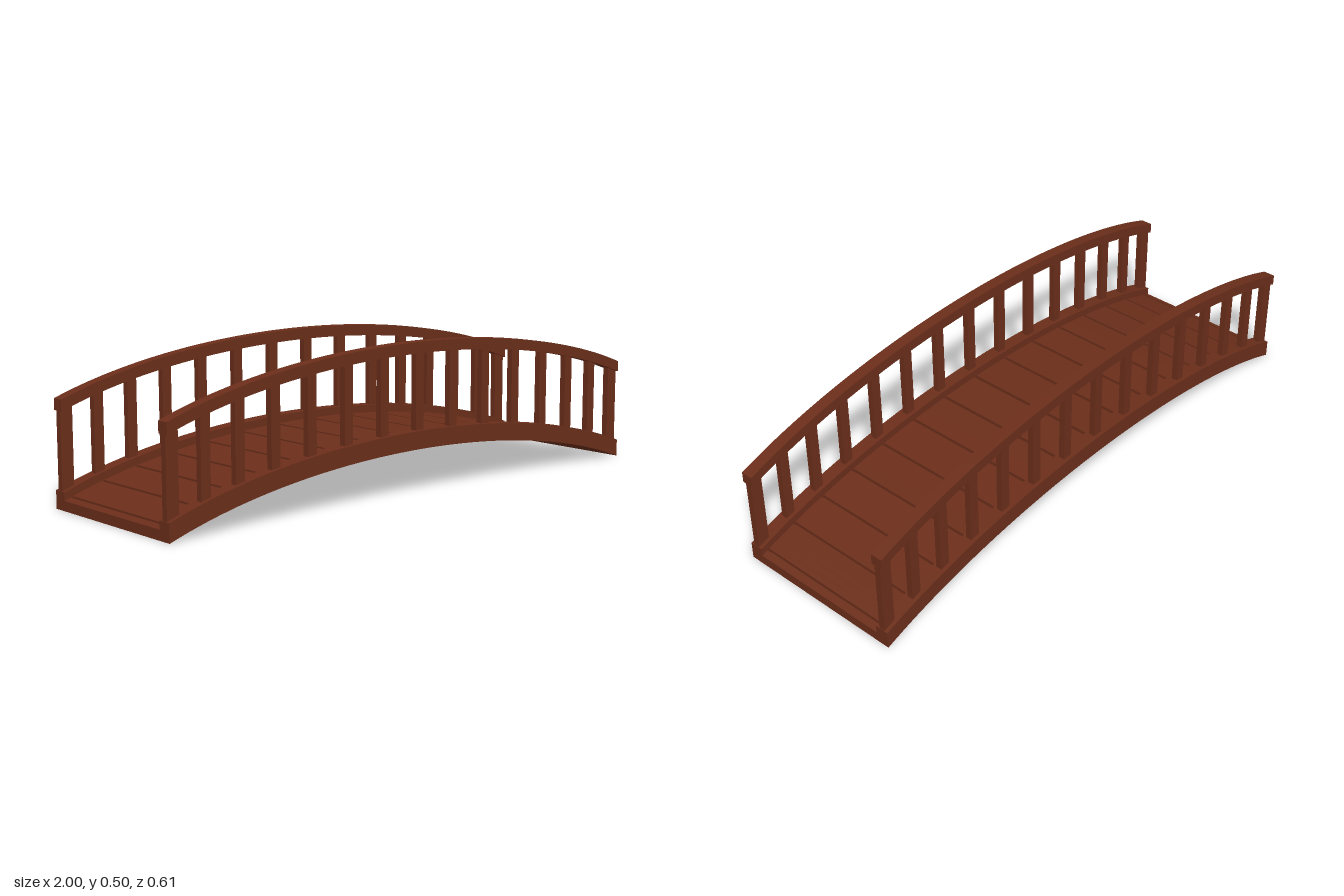
import * as THREE from 'three';
import { toCreasedNormals } from 'three/addons/utils/BufferGeometryUtils.js';

const RX = 1.37, RY = 0.474;          // radii of the elliptical arch
const END = Math.asin(1 / RX);        // arch angle at x = 1
const STEP = 0.113;                   // angle between balusters and plank joints
const wood = new THREE.MeshStandardMaterial({ color: 0x6b2e1a });

const archX = (a) => RX * Math.sin(a);
const archDrop = (a) => RY * (1 - Math.cos(a));

// Curved beam: a vertical-ended strip of the arch between two angles, extruded along z
function archBeam(name, a0, a1, bottom, top, z0, z1, segments) {
  const lower = [], upper = [];
  for (let i = 0; i <= segments; i++) {
    const a = a0 + (a1 - a0) * i / segments;
    lower.push(new THREE.Vector2(archX(a), bottom - archDrop(a)));
    upper.unshift(new THREE.Vector2(archX(a), top - archDrop(a)));
  }
  const shape = new THREE.Shape([...lower, ...upper]);
  const geometry = new THREE.ExtrudeGeometry(shape, { depth: z1 - z0, bevelEnabled: false });
  geometry.translate(0, 0, z0);
  const mesh = new THREE.Mesh(toCreasedNormals(geometry, 0.4), wood);
  mesh.name = name;
  return mesh;
}

// One side: stringer, handrail and balusters, centred on its own z
function createRailing(name) {
  const side = new THREE.Group();
  side.name = name;
  side.add(archBeam('stringer', -END, END, 0.15, 0.21, -0.024, 0.024, 48));
  side.add(archBeam('handrail', -END, END, 0.463, 0.5, -0.021, 0.021, 48));
  for (let i = -7; i <= 7; i++) {
    const isEnd = Math.abs(i) === 7;
    const a = i * STEP;
    const width = isEnd ? 0.043 : 0.034;
    const x = isEnd ? Math.sign(i) * 0.977 : archX(a);
    const post = new THREE.Mesh(new THREE.BoxGeometry(width, 0.28, 0.022), wood);
    post.name = isEnd ? 'endPost' : 'baluster';
    post.position.set(x, 0.337 - archDrop(a), 0);
    side.add(post);
  }
  return side;
}

export function createModel() {
  const bridge = new THREE.Group();
  bridge.name = 'archedFootbridge';

  for (const s of [1, -1]) {
    const railing = createRailing(s > 0 ? 'frontRailing' : 'backRailing');
    railing.position.z = s * 0.28;
    bridge.add(railing);
  }

  // Solid deck base
  bridge.add(archBeam('deckBase', -END, END, 0.15, 0.171, -0.257, 0.257, 48));

  // Planks separated by narrow grooves, with a short lip at each end
  const planks = new THREE.Group();
  planks.name = 'planks';
  const joints = [];
  for (let i = -7; i <= 7; i++) joints.push(i * STEP);
  const gap = 0.0045;
  const edges = [-END - gap, ...joints, END + gap];
  for (let i = 0; i < edges.length - 1; i++) {
    planks.add(archBeam('plank', edges[i] + gap, edges[i + 1] - gap, 0.169, 0.183, -0.257, 0.257, 4));
  }
  bridge.add(planks);
  return bridge;
}
